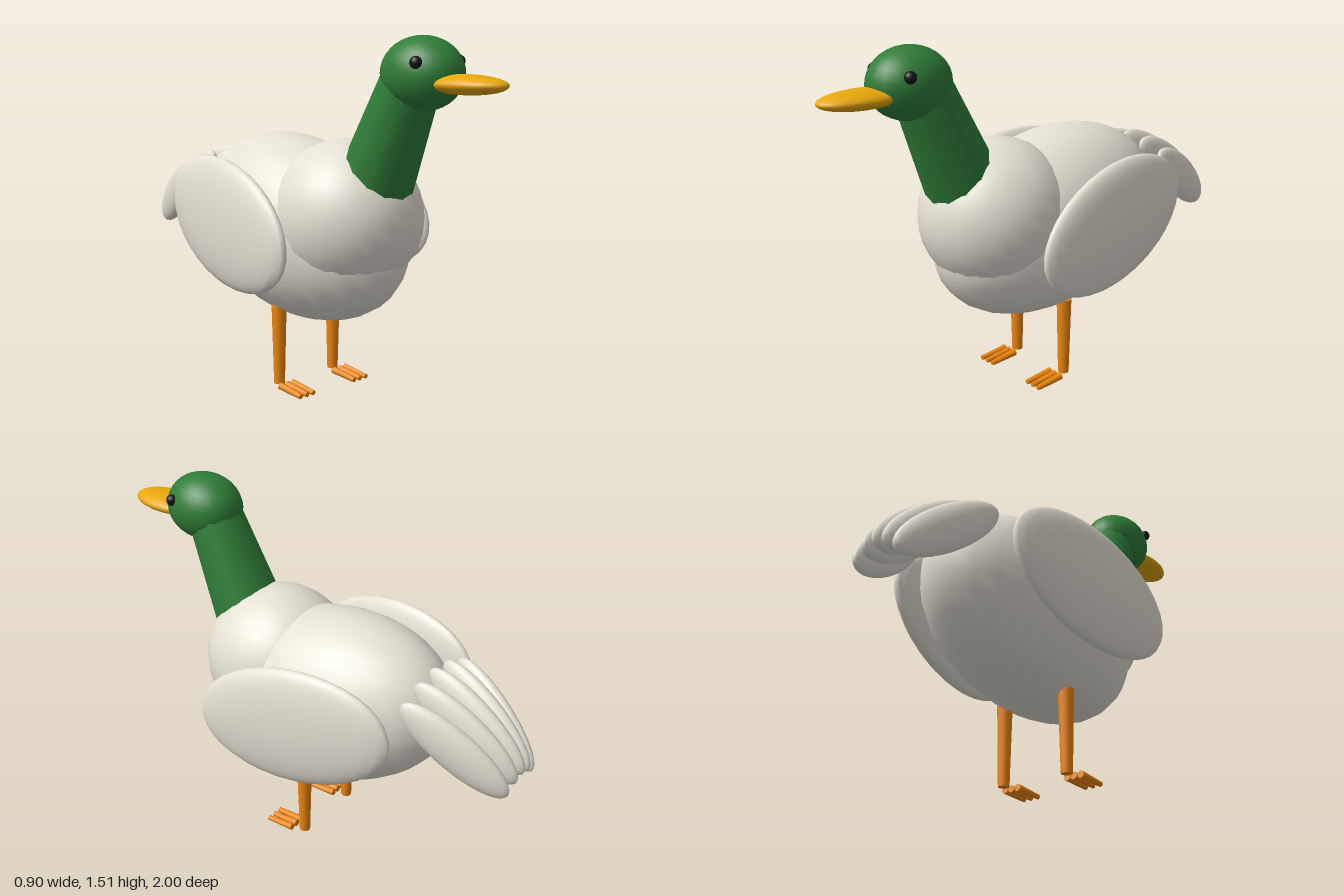
import * as THREE from 'three';

const material = (color) => new THREE.MeshStandardMaterial({ color });
const plumage = material(0xe4e0d4);
const green = material(0x2f7d38);
const orange = material(0xee860f);
const yellow = material(0xe8a80c);
const black = material(0x151515);
const rad = THREE.MathUtils.degToRad;
const UP = new THREE.Vector3(0, 1, 0);

export function createModel() {
  const duck = new THREE.Group();
  duck.name = 'duck';

  // Ellipsoid with radii, pitched (positive lifts the rear) and then yawed
  function ellipsoid(name, mat, position, radii, pitch = 0, yaw = 0) {
    const mesh = new THREE.Mesh(new THREE.SphereGeometry(1, 28, 18), mat);
    mesh.name = name;
    mesh.position.set(...position);
    mesh.scale.set(...radii);
    mesh.rotation.set(rad(pitch), rad(yaw), 0, 'YXZ');
    duck.add(mesh);
  }

  // Tapered cylinder between two points
  function limb(name, mat, from, to, rFrom, rTo, sides) {
    const a = new THREE.Vector3(...from);
    const b = new THREE.Vector3(...to);
    const axis = b.clone().sub(a);
    const mesh = new THREE.Mesh(new THREE.CylinderGeometry(rTo, rFrom, axis.length(), sides), mat);
    mesh.name = name;
    mesh.position.copy(a).add(b).multiplyScalar(0.5);
    mesh.quaternion.setFromUnitVectors(UP, axis.normalize());
    duck.add(mesh);
  }

  // Body and breast
  ellipsoid('body', plumage, [0, 0.7, -0.09], [0.34, 0.38, 0.575], 14);
  ellipsoid('breast', plumage, [0, 0.775, 0.2], [0.31, 0.322, 0.33]);

  // Neck, head and bill
  limb('neck', green, [0, 0.867, 0.336], [0, 1.34, 0.549], 0.163, 0.12, 12);
  ellipsoid('head', green, [0, 1.372, 0.605], [0.144, 0.143, 0.175]);
  ellipsoid('bill', yellow, [0, 1.338, 0.815], [0.096, 0.038, 0.183]);

  // Paired parts
  for (const [side, s] of [['left', 1], ['right', -1]]) {
    ellipsoid(side + 'Eye', black, [s * 0.122, 1.417, 0.68], [0.023, 0.024, 0.024]);
    ellipsoid(side + 'Wing', plumage, [s * 0.362, 0.74, -0.145], [0.068, 0.262, 0.445], 11.5, s * 7);

    // Leg with three forward toes
    limb(side + 'Leg', orange, [s * 0.158, 0.022, -0.05], [s * 0.158, 0.37, -0.05], 0.024, 0.033, 12);
    for (let i = -1; i <= 1; i++) {
      const x = s * 0.157 + i * 0.033;
      limb(side + 'Toe', orange, [x, 0.026, -0.003], [x + i * 0.003, 0.014, 0.13], 0.016, 0.011, 8);
    }
  }

  // Fan of upright tail feathers, the middle ones set higher
  for (let i = -2; i <= 2; i++) {
    const lift = [0.05, 0.036, 0][Math.abs(i)];
    ellipsoid('tailFeather', plumage, [i * 0.078, 0.785 + lift, -0.775], [0.046, 0.09, 0.268], -35, i * 7.5);
  }

  return duck;
}
